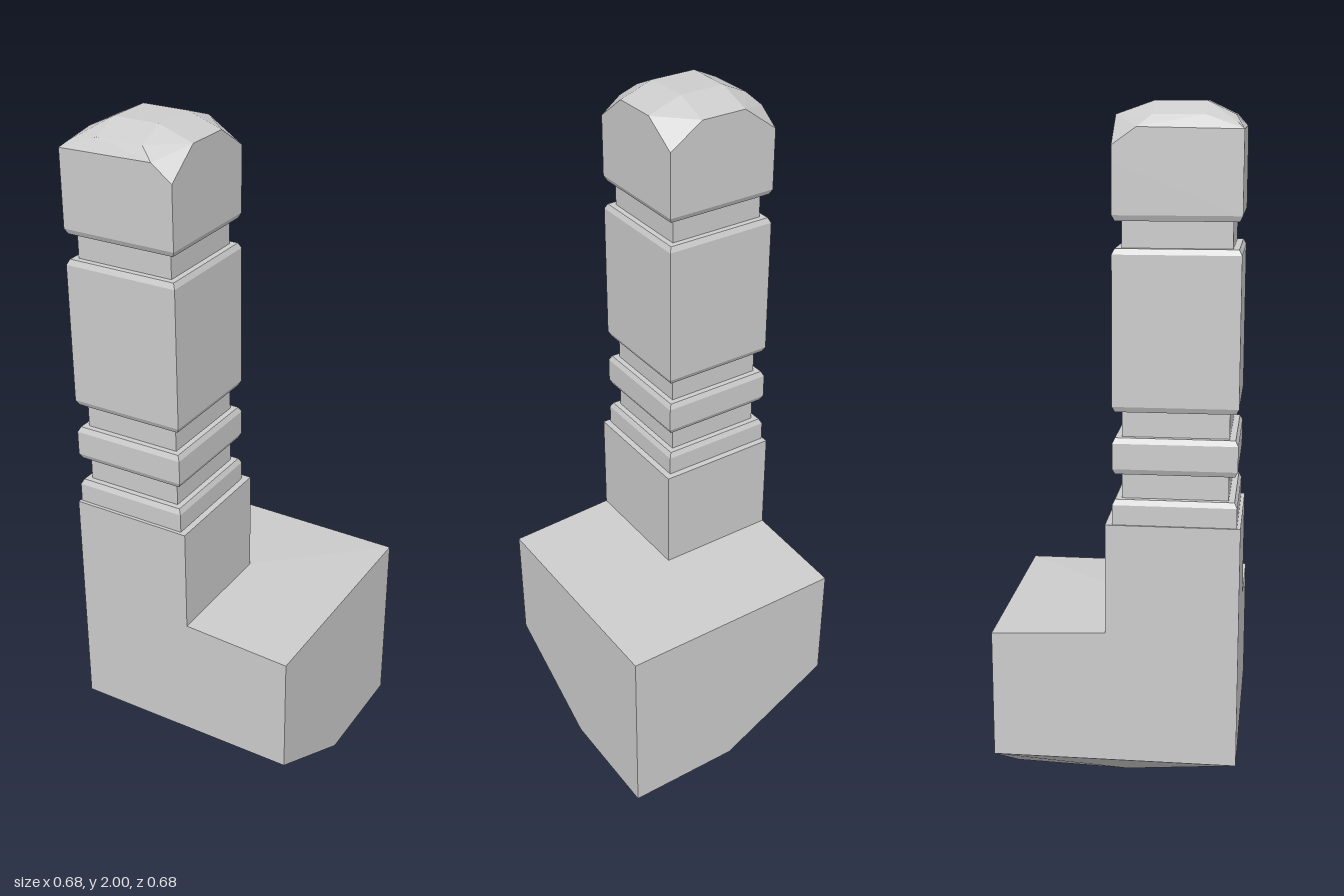
import * as THREE from 'three';
import { ConvexGeometry } from 'three/addons/geometries/ConvexGeometry.js';

const material = new THREE.MeshStandardMaterial({ color: 0xcccccc, flatShading: true });

export function createModel() {
  const model = new THREE.Group();
  const add = (name, geometry) => {
    const mesh = new THREE.Mesh(geometry, material);
    mesh.name = name;
    model.add(mesh);
    return mesh;
  };
  const hull = (points) => new ConvexGeometry(points.map((p) => new THREE.Vector3(...p)));

  // Foot block: gently sloped top, underside ramped up to the front and the right
  const s = 0.342;
  add('footBlock', hull([
    [-s, 0.58, s], [0.018, 0.58, s], [0.018, 0.58, -0.023], [-s, 0.58, -0.023],
    [s, 0.565, s], [s, 0.565, -s], [-s, 0.565, -s],
    [0, 0, 0], [s, 0.01, 0], [0, 0.01, -s], [s, 0.01, -s],
    [-s, 0.2, s], [s, 0.2, s], [-s, 0.2, 0], [-s, 0.2, -s], [0, 0.2, s],
  ]));

  // Plain square pedestal in the corner of the block
  add('pedestal', new THREE.BoxGeometry(0.36, 0.39, 0.365)).position.set(-0.162, 0.695, 0.1595);

  // Square post with bevelled bands separated by grooves
  const wide = 0.168, narrow = 0.144, bevel = 0.015;
  const profile = [];
  const point = (half, y) => profile.push(new THREE.Vector2(half * Math.SQRT2, y));
  for (const [low, high] of [[0.87, 0.96], [1.03, 1.13], [1.2, 1.63], [1.7, 1.9]]) {
    if (low > 0.9) {
      point(narrow, low);
      point(wide - bevel / 2, low);
      point(wide, low + bevel);
    } else point(wide, low);
    if (high < 1.8) {
      point(wide, high - bevel);
      point(wide - bevel / 2, high);
      point(narrow, high);
    } else point(wide, 1.85);
  }
  const post = add('bandedPost', new THREE.LatheGeometry(profile, 4).rotateY(Math.PI / 4));
  post.position.set(-0.169, 0, 0.164);

  // Faceted cap, uneven like cut stone
  const l = -0.337, r = -0.001, b = -0.004, f = 0.332;
  add('facetedCap', hull([
    [l, 1.84, b], [r, 1.84, b], [r, 1.84, f], [l, 1.84, f],
    [l, 1.89, b], [r, 1.9, b], [r, 1.89, f], [l, 1.93, f],
    [-0.06, 1.935, f], [-0.32, 1.945, 0.315], [-0.235, 1.965, 0.307], [-0.1, 1.965, 0.307],
    [r, 1.965, 0.232], [r, 1.965, 0.097],
    [-0.1, 1.965, b], [-0.235, 1.965, b],
    [l, 1.935, 0.06], [-0.31, 1.965, 0.097], [-0.31, 1.965, 0.232],
    [-0.235, 2, 0.097], [-0.1, 2, 0.097], [-0.1, 2, 0.232], [-0.235, 2, 0.232],
  ]));

  return model;
}
